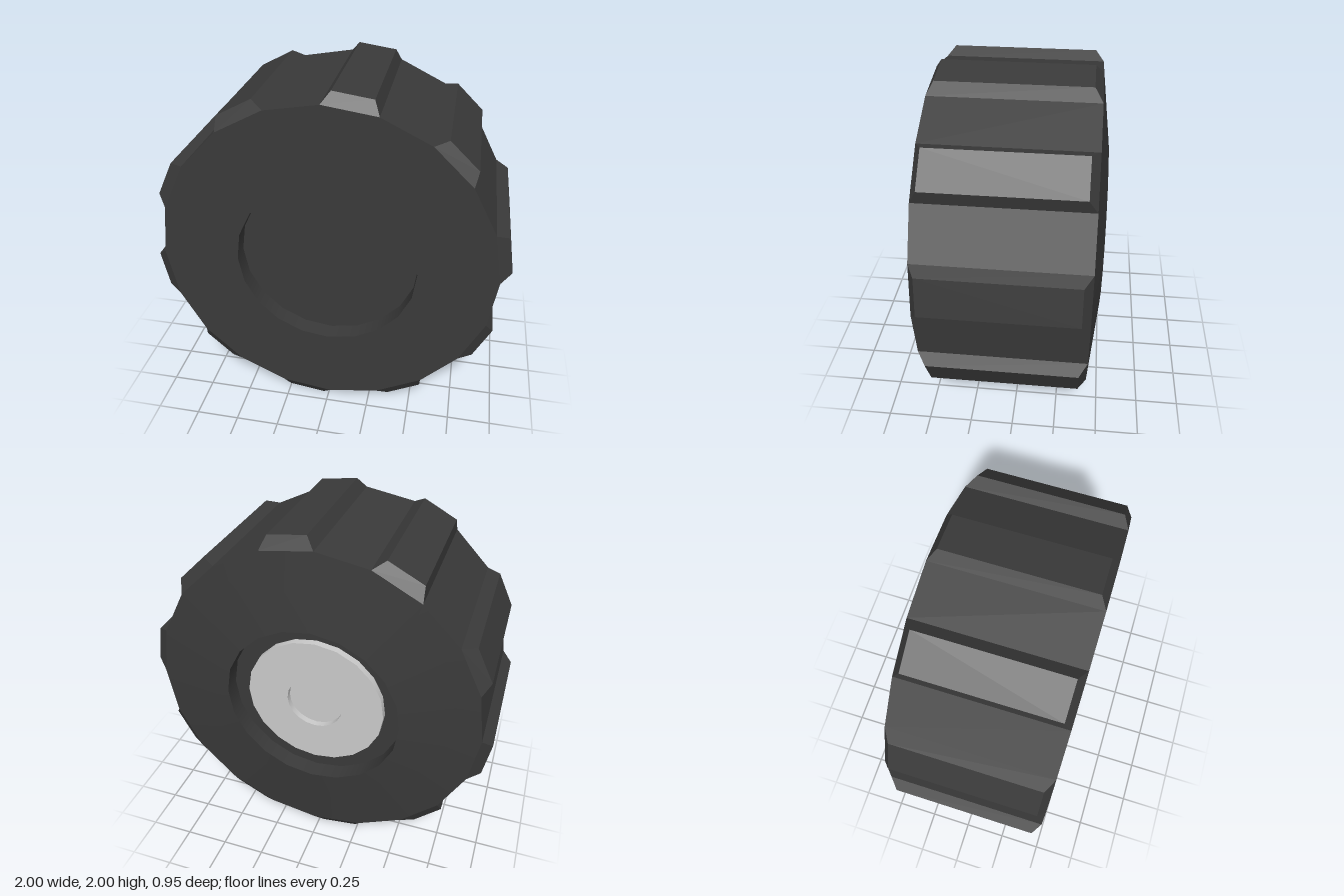
import * as THREE from 'three';

const deg = THREE.MathUtils.degToRad;
const SIDES = 20;
const LUGS = 10;
const PHASE = deg(1);

const rubber = new THREE.MeshStandardMaterial({ color: 0x3a3a3a });
const rubberFlat = new THREE.MeshStandardMaterial({ color: 0x3a3a3a, flatShading: true });
const metal = new THREE.MeshStandardMaterial({ color: 0xcccccc });

// One band of a turned profile around the z axis, from [r, z] to [r, z]
function band(name, from, to, material) {
  const points = [new THREE.Vector2(...from), new THREE.Vector2(...to)];
  const geometry = new THREE.LatheGeometry(points, SIDES, PHASE);
  geometry.rotateX(Math.PI / 2);
  const mesh = new THREE.Mesh(geometry, material);
  mesh.name = name;
  return mesh;
}

// Tread lug: a box reshaped into a block tapering outward, pointing along +y
function lugGeometry() {
  const geometry = new THREE.BoxGeometry(1, 1, 1);
  const p = geometry.attributes.position;
  for (let i = 0; i < p.count; i++) {
    const top = p.getY(i) > 0;
    const r = top ? 1 : 0.94;
    const angle = Math.sign(p.getX(i)) * deg(top ? 6.2 : 9);
    const z = p.getZ(i) > 0 ? (top ? 0.435 : 0.475) : (top ? -0.375 : -0.42);
    p.setXYZ(i, r * Math.sin(angle), r * Math.cos(angle), z);
  }
  geometry.computeVertexNormals();
  return geometry;
}

export function createModel() {
  const wheel = new THREE.Group();
  wheel.name = 'wheel';

  // Tyre with a shallow round recess on both faces
  const tyre = new THREE.Group();
  tyre.name = 'tyre';
  tyre.add(
    band('backRecessFloor', [0, -0.375], [0.505, -0.375], rubber),
    band('backRecessWall', [0.505, -0.375], [0.505, -0.475], rubber),
    band('backSidewall', [0.505, -0.475], [0.94, -0.42], rubber),
    band('treadSurface', [0.94, -0.42], [0.94, 0.475], rubberFlat),
    band('frontSidewall', [0.94, 0.475], [0.505, 0.475], rubber),
    band('frontRecessWall', [0.505, 0.475], [0.505, 0.375], rubber),
    band('frontRecessFloor', [0.505, 0.375], [0, 0.375], rubber)
  );

  // Tread lugs
  const lug = lugGeometry();
  for (let i = 0; i < LUGS; i++) {
    const mesh = new THREE.Mesh(lug, rubberFlat);
    mesh.name = 'treadLug';
    mesh.rotation.z = deg(10 - 90 + (i * 360) / LUGS);
    tyre.add(mesh);
  }

  // Hub disc in the back recess, with a round axle socket
  const hub = new THREE.Group();
  hub.name = 'hub';
  hub.add(
    band('socketFloor', [0, -0.38], [0.163, -0.38], metal),
    band('socketWall', [0.163, -0.38], [0.163, -0.415], metal),
    band('hubFace', [0.163, -0.415], [0.4, -0.415], metal),
    band('hubEdge', [0.4, -0.415], [0.4, -0.375], metal)
  );

  wheel.add(tyre, hub);
  wheel.position.y = 1;

  const model = new THREE.Group();
  model.name = 'model';
  model.add(wheel);
  return model;
}
